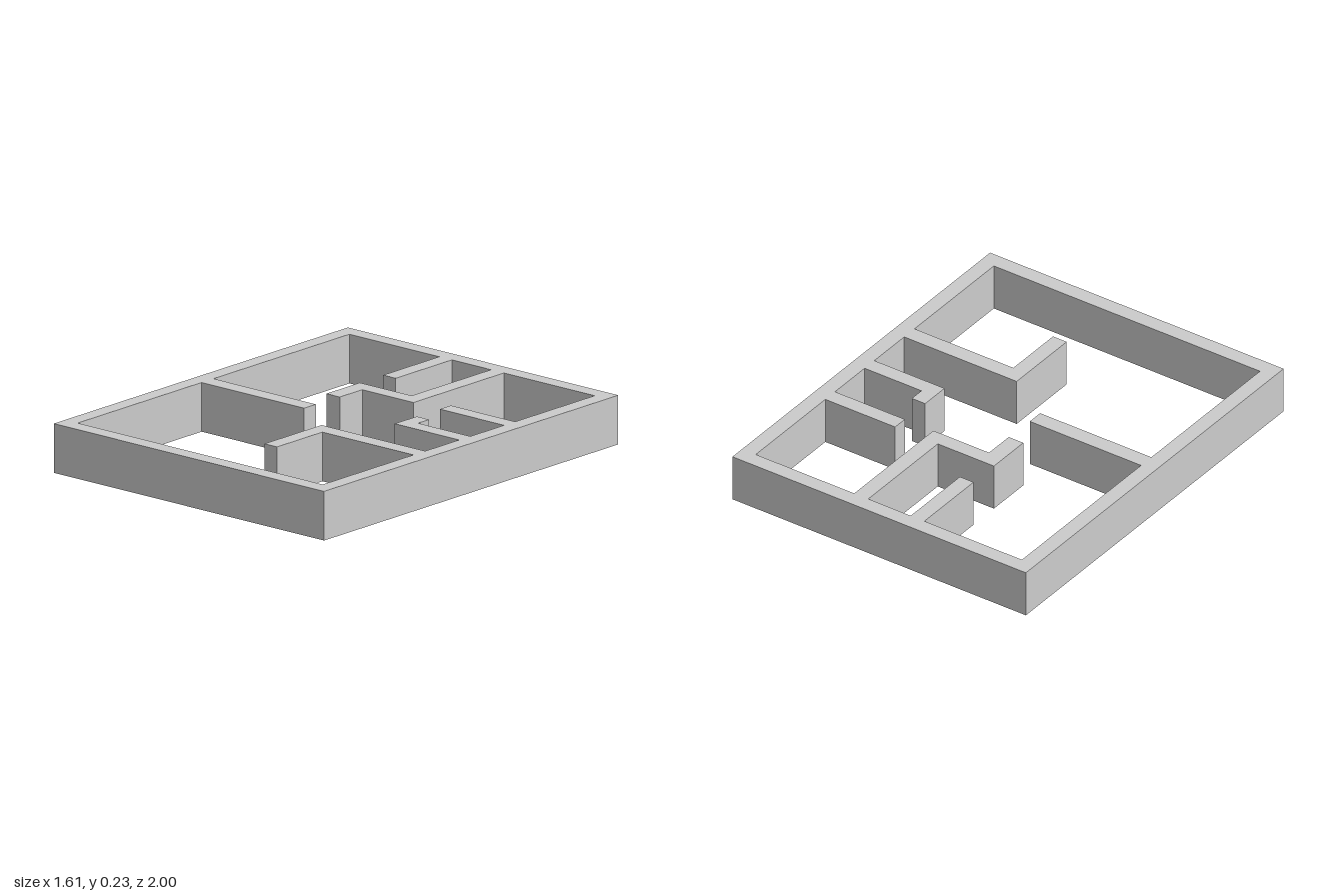
import * as THREE from 'three';

const HEIGHT = 0.23;
const material = new THREE.MeshStandardMaterial({ color: 0xcccccc, flatShading: true });

const toPoints = (outline) => outline.map(([x, z]) => new THREE.Vector2(x, z));
const rectangle = (x0, x1, z0, z1) => [[x0, z0], [x1, z0], [x1, z1], [x0, z1]];

// Raises a floor outline of [x, z] corners, with an optional opening, to wall height
function wall(name, outline, opening) {
  const shape = new THREE.Shape(toPoints(outline));
  if (opening) shape.holes.push(new THREE.Path(toPoints(opening)));
  const geometry = new THREE.ExtrudeGeometry(shape, { depth: HEIGHT, bevelEnabled: false });
  geometry.rotateX(Math.PI / 2).translate(0, HEIGHT, 0);
  const mesh = new THREE.Mesh(geometry, material);
  mesh.name = name;
  return mesh;
}

export function createModel() {
  const group = new THREE.Group();
  group.name = 'floorPlanWalls';

  group.add(
    // Outer walls, open at top and bottom
    wall('outerWalls', rectangle(-0.805, 0.805, -1, 1), rectangle(-0.73, 0.73, -0.925, 0.923)),

    // Partitions from the back wall
    wall('backStubPartition', rectangle(-0.195, -0.12, -0.925, -0.543)),
    wall('backSteppedPartition', [
      [0.113, -0.925], [0.19, -0.925], [0.19, -0.31], [-0.115, -0.31],
      [-0.115, -0.157], [-0.195, -0.157], [-0.195, -0.385], [0.113, -0.385],
    ]),

    // Partitions from the +x wall
    wall('leftStraightPartition', rectangle(0.347, 0.73, -0.385, -0.31)),
    wall('leftHookedPartition', [
      [0.73, -0.08], [0.73, -0.005], [0.345, -0.005],
      [0.345, -0.155], [0.418, -0.155], [0.418, -0.08],
    ]),
    wall('leftCornerPartition', [
      [0.73, 0.227], [0.73, 0.307], [0.188, 0.307],
      [0.188, 0.615], [0.113, 0.615], [0.113, 0.227],
    ]),

    // Partition from the -x wall
    wall('rightPartition', rectangle(-0.73, -0.12, 0, 0.08)),
  );
  return group;
}
